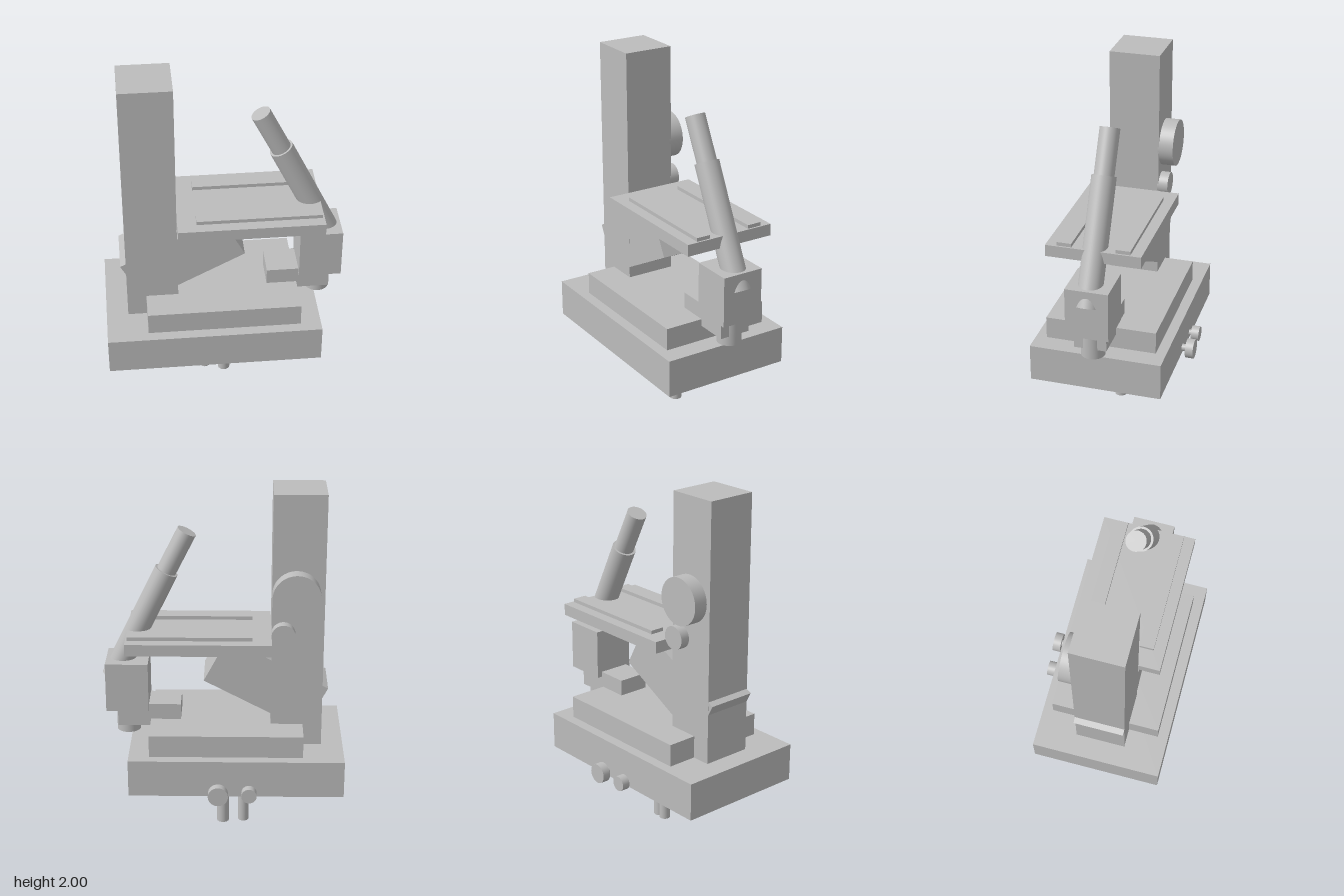
import * as THREE from 'three';

export function createModel() {
  const model = new THREE.Group();
  model.name = 'microscope';
  const grey = new THREE.MeshStandardMaterial({ color: 0xbcbcbc });
  grey.name = 'light grey';
  const MID_Z = 0.034; // plane of symmetry of the body

  function add(name, geometry) {
    const mesh = new THREE.Mesh(geometry, grey);
    mesh.name = name;
    model.add(mesh);
    return mesh;
  }

  // Box given by its extents on each axis
  function box(name, [x0, x1], [y0, y1], [z0, z1]) {
    const mesh = add(name, new THREE.BoxGeometry(x1 - x0, y1 - y0, z1 - z0));
    mesh.position.set((x0 + x1) / 2, (y0 + y1) / 2, (z0 + z1) / 2);
    return mesh;
  }

  // Cylinder running between two points
  function rod(name, radius, from, to) {
    const a = new THREE.Vector3(...from);
    const b = new THREE.Vector3(...to);
    const mesh = add(name, new THREE.CylinderGeometry(radius, radius, a.distanceTo(b), 48));
    mesh.position.copy(a).add(b).multiplyScalar(0.5);
    mesh.quaternion.setFromUnitVectors(new THREE.Vector3(0, 1, 0), b.sub(a).normalize());
    return mesh;
  }

  // Base, step and column
  box('base', [-0.67, 0.51], [0.355, 0.565], [-0.333, 0.4]);
  box('baseStep', [-0.445, 0.397], [0.565, 0.69], [-0.276, 0.341]);
  box('column', [-0.55, -0.268], [0.565, 2], [-0.108, 0.172]);

  // Slanted support passing through the column
  const support = add('slantedSupport', new THREE.BoxGeometry(0.622, 0.28, 0.279));
  support.position.set(-0.24, 0.927, 0.032);
  support.rotation.z = Math.atan2(0.291, 0.55);

  // Stage with two rails
  box('stage', [-0.268, 0.52], [1.14, 1.205], [-0.226, 0.291]);
  box('backRail', [-0.165, 0.51], [1.205, 1.225], [-0.166, -0.087]);
  box('frontRail', [-0.165, 0.51], [1.205, 1.225], [0.151, 0.23]);

  // Viewing head
  box('headBlock', [0.407, 0.642], [0.75, 1.03], [-0.085, 0.15]);
  box('headBracket', [0.23, 0.58], [0.65, 0.78], [-0.055, 0.123]);
  rod('headPeg', 0.066, [0.527, 0.595, MID_Z], [0.527, 0.8, MID_Z]);

  // Eyepiece tube
  rod('eyepieceTube', 0.066, [0.606, 0.915, MID_Z], [0.302, 1.535, MID_Z]);
  rod('eyepiece', 0.054, [0.33, 1.48, MID_Z], [0.19, 1.757, MID_Z]);

  // Focus knobs on the back of the column
  rod('coarseFocusKnob', 0.13, [-0.397, 1.455, -0.1], [-0.397, 1.455, -0.187]);
  rod('fineFocusKnob', 0.065, [-0.33, 1.23, -0.1], [-0.33, 1.23, -0.16]);

  // Control knobs on the back of the base: x, radius, stem radius, inner z, outer z
  for (const [x, r, stem, zIn, zOut] of [
    [-0.151, 0.042, 0.017, -0.35, -0.395],
    [0.018, 0.055, 0.02, -0.36, -0.405],
  ]) {
    rod('controlKnobStem', stem, [x, 0.388, -0.32], [x, 0.388, zIn]);
    rod('controlKnob', r, [x, 0.388, zIn], [x, 0.388, zOut]);
  }

  // Turret with three lenses: x, z, radius, lowest point
  rod('turret', 0.129, [-0.081, 0.275, MID_Z], [-0.081, 0.36, MID_Z]);
  for (const [x, z, r, y] of [
    [-0.003, MID_Z, 0.034, 0],
    [-0.121, 0.104, 0.03, 0.095],
    [-0.121, -0.032, 0.03, 0.047],
  ]) rod('objectiveLens', r, [x, y, z], [x, 0.28, z]);

  return model;
}
